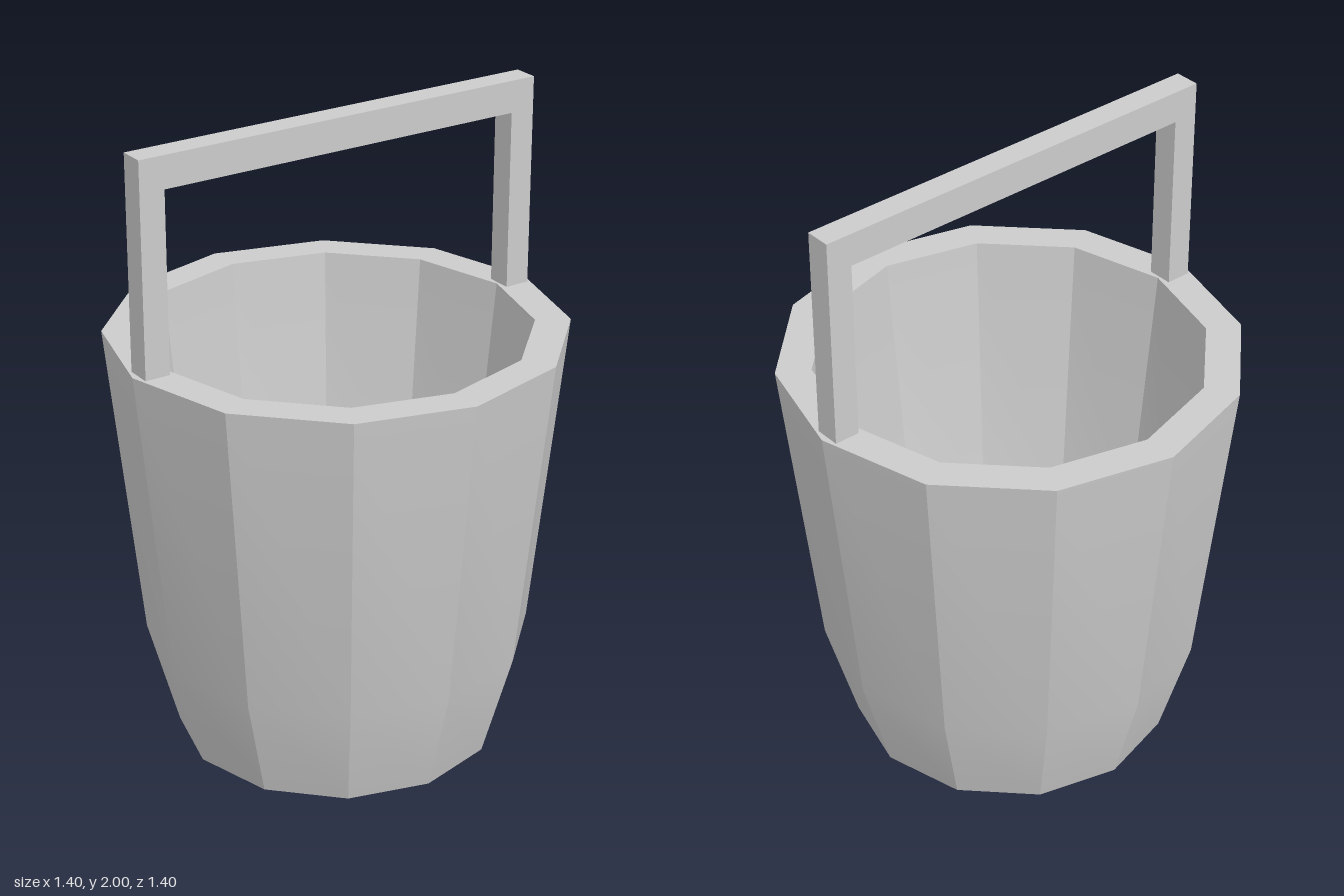
import * as THREE from 'three';
import { toCreasedNormals } from 'three/addons/utils/BufferGeometryUtils.js';

export function createModel() {
  const model = new THREE.Group();
  model.name = 'bucket';
  const material = new THREE.MeshStandardMaterial({ color: 0xcccccc });

  const add = (name, geometry) => {
    const mesh = new THREE.Mesh(geometry, material);
    mesh.name = name;
    model.add(mesh);
    return mesh;
  };

  // Twelve-sided hollow body: base, outer wall, flat rim, inner wall, floor
  const profile = [
    [0, 0], [0.5, 0], [0.595, 0.34], [0.7, 1.34],
    [0.592, 1.34], [0.49, 0.34], [0.42, 0.09], [0, 0.09],
  ].map(([r, y]) => new THREE.Vector2(r, y));
  add('body', toCreasedNormals(new THREE.LatheGeometry(profile, 12), 0.35));

  // Square-cornered handle standing on the rim
  const outline = [
    [-0.68, 1.34], [-0.6, 1.34], [-0.6, 1.9], [0.6, 1.9],
    [0.6, 1.34], [0.68, 1.34], [0.68, 2], [-0.68, 2],
  ].map(([x, y]) => new THREE.Vector2(x, y));
  const depth = 0.08;
  const handle = new THREE.ExtrudeGeometry(new THREE.Shape(outline), { depth, bevelEnabled: false });
  handle.translate(0, 0, -depth / 2);
  add('handle', handle);

  return model;
}
